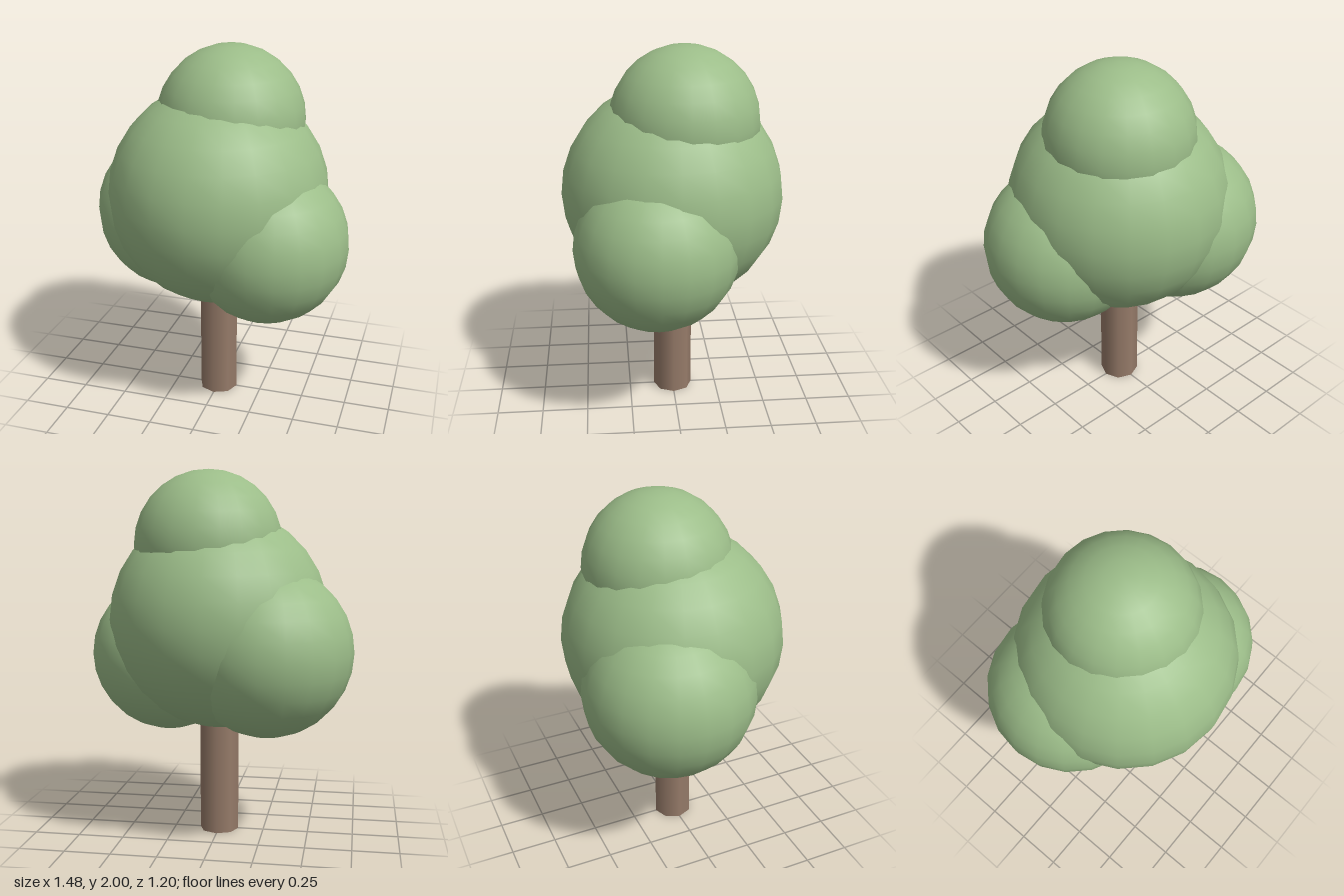
import * as THREE from 'three';

const foliageGreen = new THREE.MeshStandardMaterial({ name: 'foliageGreen', color: 0x9cbd89 });
const barkBrown = new THREE.MeshStandardMaterial({ name: 'barkBrown', color: 0x967b69 });

export function createModel() {
  const tree = new THREE.Group();
  tree.name = 'tree';

  // Straight eight-sided trunk, running up into the crown
  const trunkHeight = 0.9;
  const trunk = new THREE.Mesh(new THREE.CylinderGeometry(0.108, 0.108, trunkHeight, 8), barkBrown);
  trunk.name = 'trunk';
  trunk.position.y = trunkHeight / 2;
  tree.add(trunk);

  // Crown of overlapping round clumps: name, radius, centre
  const clumps = [
    ['mainFoliage', 0.6, [0, 1.2, 0]],
    ['topFoliage', 0.4, [0.05, 1.6, -0.06]],
    ['leftFoliage', 0.437, [0.3, 0.99, 0.106]],
    ['rightFoliage', 0.46, [-0.28, 1.04, -0.143]],
  ];
  for (const [name, radius, centre] of clumps) {
    const clump = new THREE.Mesh(new THREE.SphereGeometry(radius, 20, 14), foliageGreen);
    clump.name = name;
    clump.position.set(...centre);
    tree.add(clump);
  }

  return tree;
}
